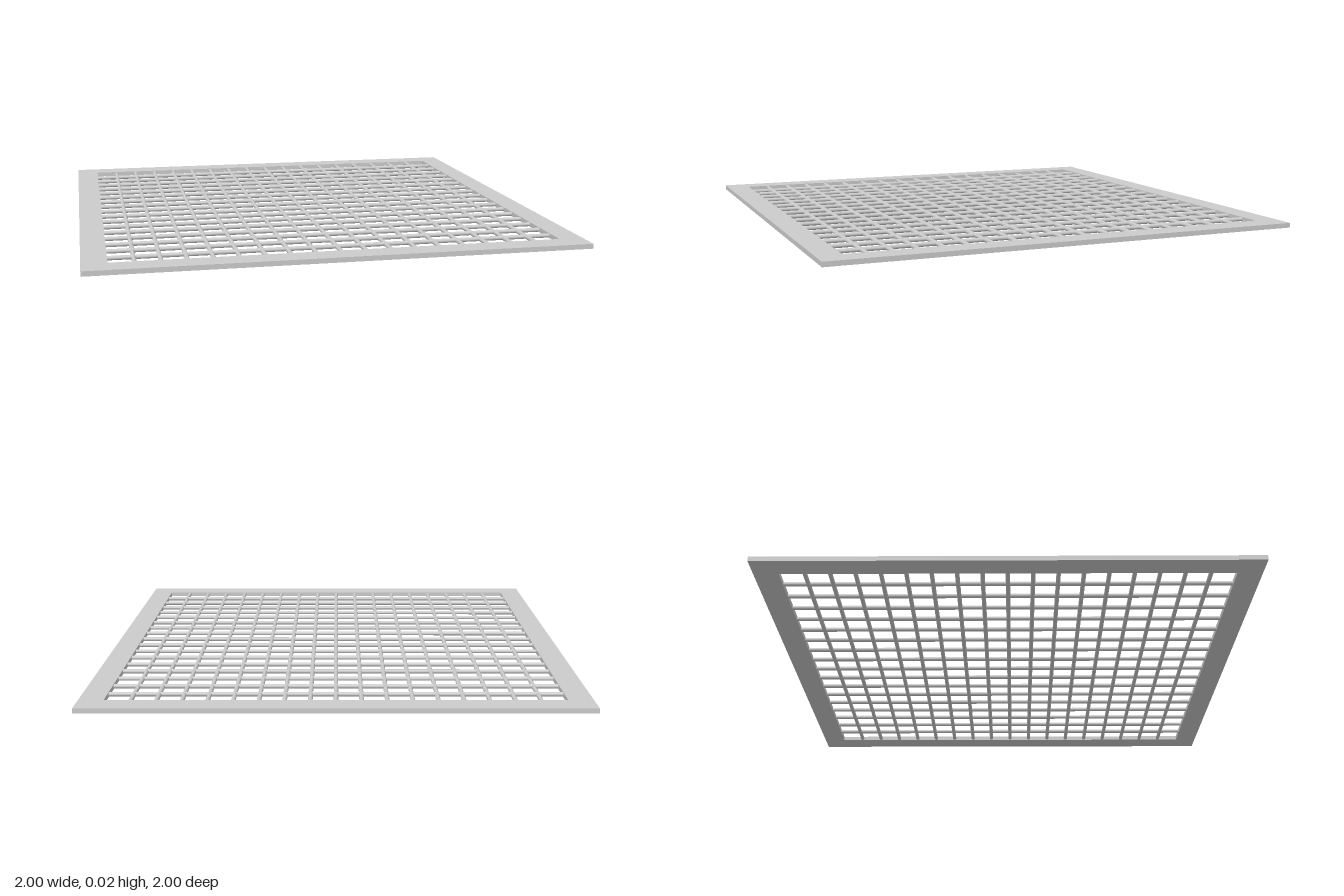
import * as THREE from 'three';

const HEIGHT = 0.02, OUTER = 1, INNER = 0.9, STEP = 0.1, WIRE_RADIUS = 0.009;

// Square outline with the given half-width
function square(Type, h) {
  const s = new Type();
  s.moveTo(-h, -h);
  s.lineTo(h, -h);
  s.lineTo(h, h);
  s.lineTo(-h, h);
  s.closePath();
  return s;
}

export function createModel() {
  const group = new THREE.Group();
  group.name = 'wireGrate';
  const material = new THREE.MeshStandardMaterial({ color: 0xcccccc });

  // Flat square frame with an open middle
  const outline = square(THREE.Shape, OUTER);
  outline.holes.push(square(THREE.Path, INNER));
  const frameGeometry = new THREE.ExtrudeGeometry(outline, { depth: HEIGHT, bevelEnabled: false });
  frameGeometry.rotateX(-Math.PI / 2);
  const frame = new THREE.Mesh(frameGeometry, material);
  frame.name = 'frame';
  group.add(frame);

  // Round wires crossing the opening, ends sunk slightly into the frame
  const wireGeometry = new THREE.CylinderGeometry(WIRE_RADIUS, WIRE_RADIUS, 2 * INNER + 0.02, 12);
  const crossWires = new THREE.Group();
  crossWires.name = 'crossWires';
  const lengthWires = new THREE.Group();
  lengthWires.name = 'lengthWires';
  for (let i = -8; i <= 8; i++) {
    const across = new THREE.Mesh(wireGeometry, material);
    across.name = 'crossWire';
    across.rotation.z = Math.PI / 2;
    across.position.set(0, HEIGHT / 2, i * STEP);
    crossWires.add(across);

    const along = new THREE.Mesh(wireGeometry, material);
    along.name = 'lengthWire';
    along.rotation.x = Math.PI / 2;
    along.position.set(i * STEP, HEIGHT / 2, 0);
    lengthWires.add(along);
  }
  group.add(crossWires, lengthWires);
  return group;
}
